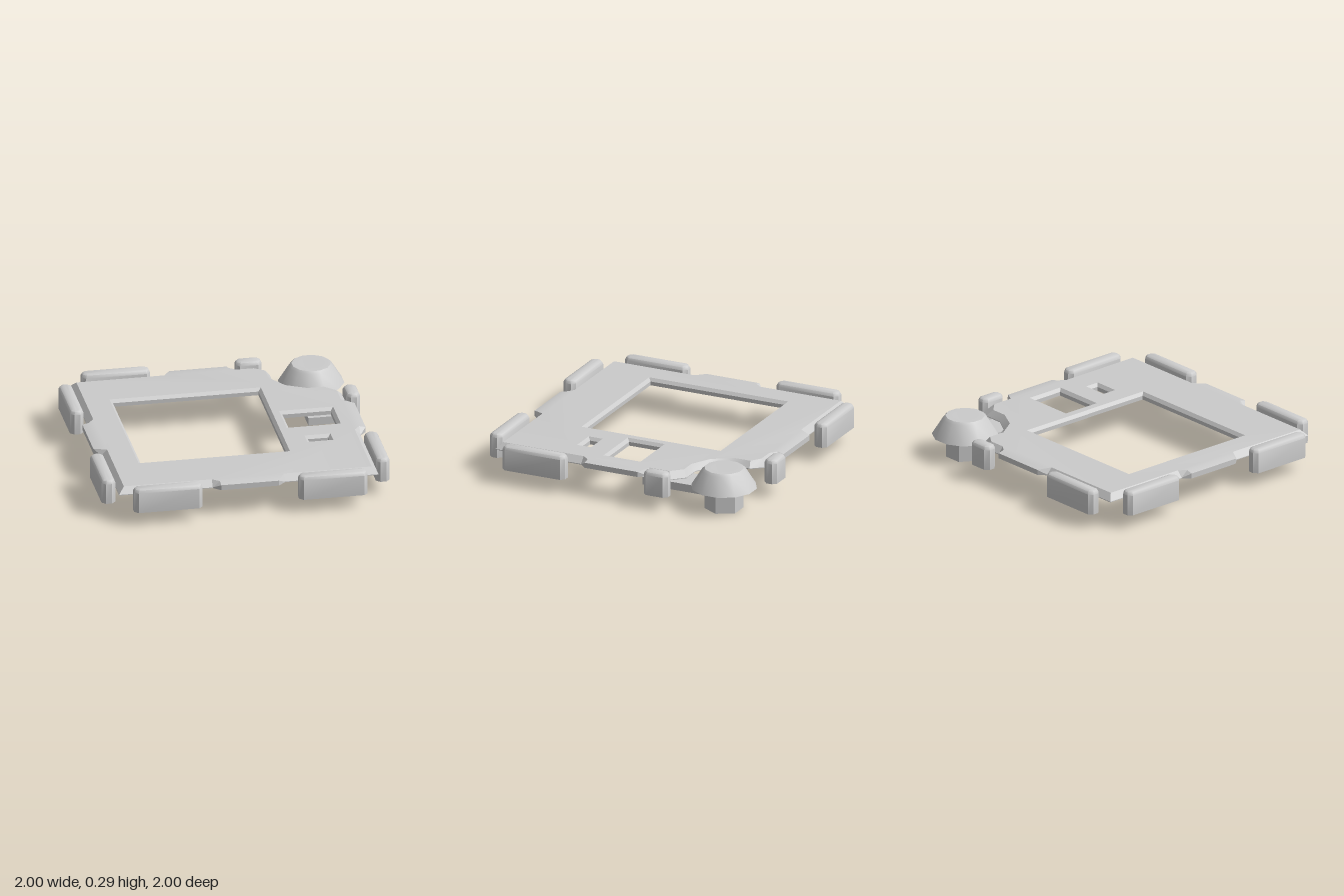
import * as THREE from 'three';
import { toCreasedNormals, mergeGeometries } from 'three/addons/utils/BufferGeometryUtils.js';

const solid = new THREE.MeshStandardMaterial({ color: 0xcccccc });
const thin = new THREE.MeshStandardMaterial({ color: 0xcccccc, side: THREE.DoubleSide });

// Skin a list of closed rings, each an array of [x, y, z]; a one-point ring closes an end.
function loft(rings) {
  const pos = [];
  for (let r = 0; r + 1 < rings.length; r++) {
    const a = rings[r], b = rings[r + 1], n = Math.max(a.length, b.length);
    const at = (ring, i) => ring[i % ring.length];
    for (let i = 0; i < n; i++) {
      if (a.length > 1) pos.push(...at(a, i), ...at(a, i + 1), ...at(b, i + 1));
      if (b.length > 1) pos.push(...at(a, i), ...at(b, i + 1), ...at(b, i));
    }
  }
  const g = new THREE.BufferGeometry();
  g.setAttribute('position', new THREE.Float32BufferAttribute(pos, 3));
  g.computeVertexNormals();
  return g;
}

function add(group, name, geometry, material = solid) {
  const mesh = new THREE.Mesh(geometry, material);
  mesh.name = name;
  group.add(mesh);
  return mesh;
}

const TOP = 0.243, LOW = 0.195;

// Plate outline, counter-clockwise from above: a tab on each side, square corners, one stepped notch.
function outline(edge, tab, notch, edgeY, tabY) {
  const pts = [];
  const turn = (x, z, k) => {
    for (; k > 0; k--) [x, z] = [z, -x];
    return [x, z];
  };
  for (let k = 0; k < 4; k++) {
    const side = [[edge, 0.25, edgeY], [tab, 0.2, tabY], [tab, -0.2, tabY], [edge, -0.25, edgeY]];
    for (const [d, s, y] of side) {
      const [x, z] = turn(d, s, k);
      pts.push([x, y, z]);
    }
    if (k === 0) for (const [x, z] of notch) pts.push([x, edgeY, z]);
    else {
      const [x, z] = turn(edge, -edge, k);
      pts.push([x, edgeY, z]);
    }
  }
  return pts;
}

function plateGeometry() {
  const notchLow = [[0.9, -0.43], [0.82, -0.51], [0.68, -0.51], [0.56, -0.58], [0.475, -0.7], [0.475, -0.82], [0.41, -0.9]];
  const notchTop = [[0.86, -0.4], [0.785, -0.475], [0.67, -0.475], [0.53, -0.55], [0.44, -0.69], [0.44, -0.81], [0.37, -0.86]];
  const low = outline(0.9, 0.945, notchLow, LOW, LOW);
  const mid = outline(0.9, 0.945, notchLow, LOW + 0.005, 0.232);
  const top = outline(0.86, 0.9, notchTop, TOP, TOP);

  // Openings: x0, x1, z0, z1 at the top face, narrowing below
  const holes = [[-0.69, 0.36, -0.545, 0.51], [0.41, 0.785, -0.145, 0.135], [0.505, 0.685, 0.28, 0.385]];
  const rect = ([x0, x1, z0, z1], inset, y) => [
    [x0 + inset, y, z0 + inset], [x1 - inset, y, z0 + inset],
    [x1 - inset, y, z1 - inset], [x0 + inset, y, z1 - inset]];

  const flat = (ring) => ring.map(([x, , z]) => new THREE.Vector2(x, -z));
  const face = new THREE.Shape(flat(top));
  for (const h of holes) face.holes.push(new THREE.Path(flat(rect(h, 0, TOP))));
  const topFace = new THREE.ShapeGeometry(face).rotateX(-Math.PI / 2).translate(0, TOP, 0).toNonIndexed();
  topFace.deleteAttribute('uv');

  const walls = holes.map((h) => loft([rect(h, 0.02, LOW), rect(h, 0.02, 0.222), rect(h, 0, TOP)]));
  return toCreasedNormals(mergeGeometries([topFace, loft([low, mid, top]), ...walls]), 0.5);
}

// Bumper: chamfered bar with a softened top edge
function bumperGeometry(length, width) {
  const ring = (y, inset, cut) => {
    const a = length / 2 - inset, b = width / 2 - inset;
    return [[a, y, b - cut], [a, y, cut - b], [a - cut, y, -b], [cut - a, y, -b],
      [-a, y, cut - b], [-a, y, b - cut], [cut - a, y, b], [a - cut, y, b]];
  };
  return toCreasedNormals(loft([[[0, 0.098, 0]], ring(0.098, 0, 0.027), ring(0.243, 0, 0.027),
    ring(0.262, 0.009, 0.024), ring(0.27, 0.025, 0.015), [[0, 0.27, 0]]]), 0.75);
}

export function createModel() {
  const model = new THREE.Group();
  model.name = 'framePlateWithDial';

  add(model, 'framePlate', plateGeometry(), thin);

  // Bumpers around the rim: side, start and end along that side
  const bumpers = new THREE.Group();
  bumpers.name = 'bumpers';
  model.add(bumpers);
  const spans = [
    ['back', -0.81, -0.335], ['back', 0.258, 0.44],
    ['front', -0.81, -0.335], ['front', 0.335, 0.81],
    ['left', -0.445, -0.262], ['left', 0.335, 0.81],
    ['right', -0.81, -0.338], ['right', 0.335, 0.81]];
  for (const [side, from, to] of spans) {
    const mesh = add(bumpers, side + 'Bumper', bumperGeometry(to - from, 0.096));
    const centre = (from + to) / 2, off = 0.952;
    if (side === 'front' || side === 'back') mesh.position.set(centre, 0, side === 'front' ? off : -off);
    else {
      mesh.position.set(side === 'left' ? off : -off, 0, centre);
      mesh.rotation.y = Math.PI / 2;
    }
  }

  // Corner dial: hollow twelve-sided cap on a hexagonal stem
  const dial = new THREE.Group();
  dial.name = 'dial';
  dial.position.set(0.75, 0, -0.762);
  model.add(dial);
  const profile = [[0.228, 0.155], [0.152, 0.277], [0.135, 0.293], [0.09, 0.295], [0, 0.288]]
    .map(([r, y]) => new THREE.Vector2(r, y));
  const cap = new THREE.LatheGeometry(profile, 12, Math.PI / 12);
  add(dial, 'dialCap', toCreasedNormals(cap, 0.6), thin);
  const stem = new THREE.CylinderGeometry(0.134, 0.134, 0.21, 6).rotateY(Math.PI / 6).translate(0, 0.105, 0);
  add(dial, 'dialStem', toCreasedNormals(stem, 0.6));

  // Arm linking the dial to the underside of the plate
  add(model, 'dialArm', new THREE.BoxGeometry(0.21, 0.055, 0.5)).position.set(0.725, 0.127, -0.43);

  return model;
}
